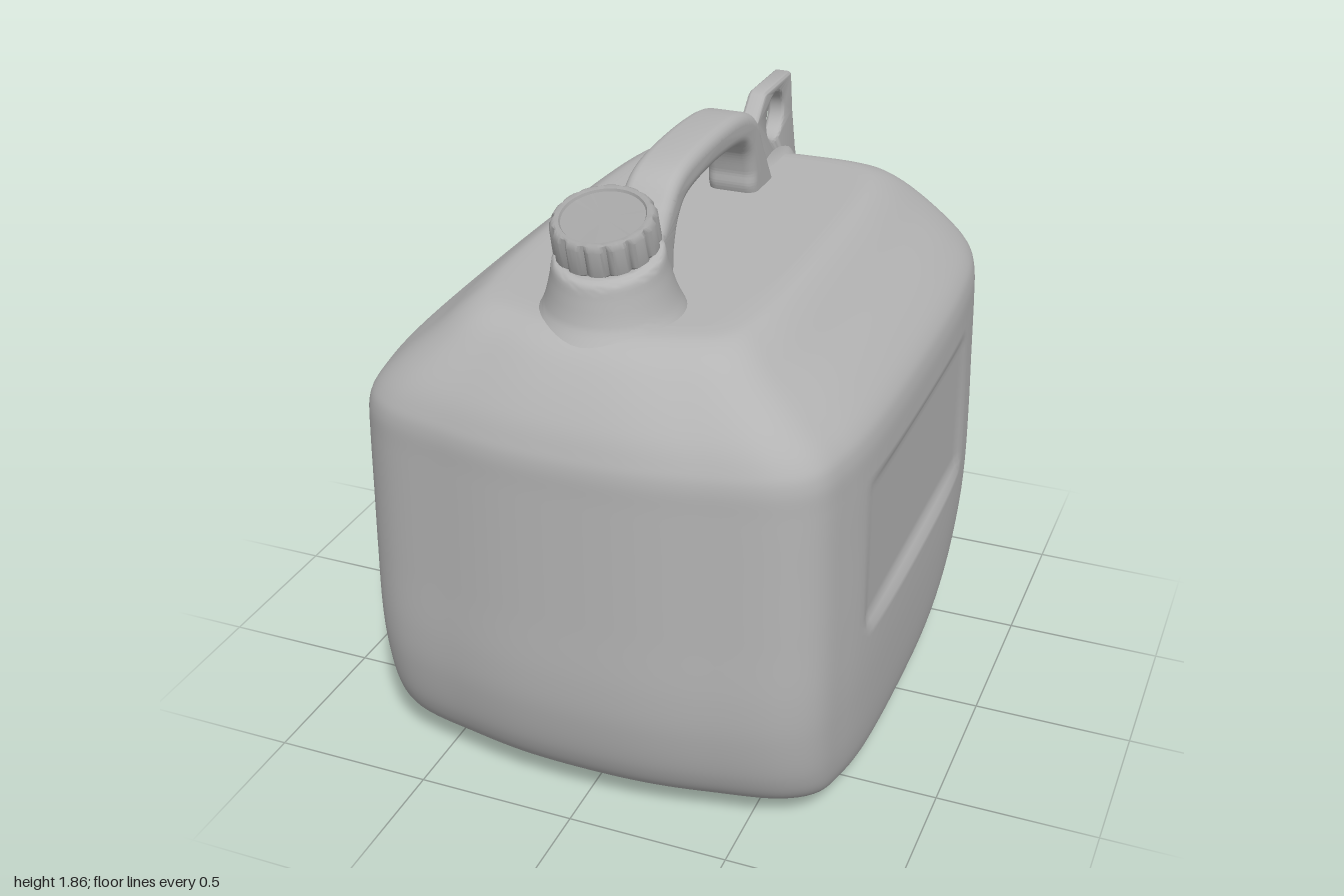
import * as THREE from 'three';
import { toCreasedNormals } from 'three/addons/utils/BufferGeometryUtils.js';

// Skin over closed rings of points, listed bottom to top and counterclockwise from above
function loft(rings) {
  const n = rings[0].length, index = [];
  for (let i = 0; i < rings.length - 1; i++) {
    for (let j = 0; j < n; j++) {
      const k = (j + 1) % n, a = i * n + j, b = i * n + k, c = a + n, d = b + n;
      index.push(a, b, c, b, d, c);
    }
  }
  const geo = new THREE.BufferGeometry();
  geo.setAttribute('position', new THREE.Float32BufferAttribute(rings.flat().flatMap(p => [p.x, p.y, p.z]), 3));
  geo.setIndex(index);
  geo.computeVertexNormals();
  return geo;
}

// Catmull-Rom through rows of numbers
function smoothRows(rows, steps) {
  const out = [], at = i => rows[Math.min(Math.max(i, 0), rows.length - 1)];
  for (let i = 0; i < rows.length - 1; i++) {
    for (let s = 0; s < steps; s++) {
      const t = s / steps;
      out.push(rows[i].map((v, c) => {
        const p0 = at(i - 1)[c], p2 = at(i + 1)[c], p3 = at(i + 2)[c];
        return 0.5 * (2 * v + (p2 - p0) * t + (2 * p0 - 5 * v + 4 * p2 - p3) * t * t + (3 * v - p0 - 3 * p2 + p3) * t ** 3);
      }));
    }
  }
  out.push(rows[rows.length - 1]);
  return out;
}

// Signed distances used for the dents, negative inside
function rectDistance(z, y, cz, cy, hz, hy, r) {
  const a = Math.abs(z - cz) - hz + r, b = Math.abs(y - cy) - hy + r;
  return Math.hypot(Math.max(a, 0), Math.max(b, 0)) + Math.min(Math.max(a, b), 0) - r;
}
function triangleDistance(z, y, pts) {
  let d = -Infinity;
  pts.forEach(([az, ay], i) => {
    const [bz, by] = pts[(i + 1) % 3], l = Math.hypot(bz - az, by - ay);
    d = Math.max(d, ((z - az) * (by - ay) - (y - ay) * (bz - az)) / l);
  });
  return d;
}
const mask = (d, soft) => 1 - THREE.MathUtils.smoothstep(d, -soft, 0);

function bodyGeometry() {
  // Half of the plan outline, front to back
  const half = [[0, 1], [0.27, 0.99], [0.51, 0.955], [0.8, 0.89], [0.91, 0.81], [0.955, 0.68], [0.985, 0.5], [1, 0],
    [0.985, -0.5], [0.94, -0.77], [0.87, -0.91], [0.77, -0.97], [0.6, -1], [0, -1]];
  const outline = [...half, ...half.slice(1, -1).reverse().map(([x, z]) => [-x, z])];
  const plan = new THREE.CatmullRomCurve3(outline.map(([x, z]) => new THREE.Vector3(x, 0, z)), true).getSpacedPoints(240).slice(0, -1);
  // Height, half width, front z, back z
  const levels = [
    [0.003, 0.62, 0.55, -0.48], [0.012, 0.68, 0.66, -0.58], [0.04, 0.735, 0.77, -0.67], [0.1, 0.757, 0.88, -0.78],
    [0.2, 0.77, 0.945, -0.88], [0.35, 0.778, 0.985, -0.965], [0.5, 0.781, 1, -0.995], [0.7, 0.779, 1, -1],
    [0.9, 0.774, 1, -1], [1.1, 0.769, 1, -1], [1.2, 0.762, 1, -1], [1.26, 0.737, 0.987, -0.987], [1.33, 0.67, 0.96, -0.962],
    [1.42, 0.565, 0.905, -0.915], [1.49, 0.485, 0.845, -0.84], [1.525, 0.43, 0.78, -0.76], [1.533, 0.38, 0.71, -0.7]];
  const rows = smoothRows(levels, 9);
  rows.unshift([0, 0.5, 0.45, -0.38], [0, 0.0, 0.03, 0.03]);
  [rows[0], rows[1]] = [rows[1], rows[0]];
  rows.push([1.535, 0.2, 0.35, -0.35], [1.535, 0, 0, 0]);
  return loft(rows.map(([y, w, f, b]) => plan.map(p => {
    const z = (f + b) / 2 + p.z * (f - b) / 2;
    let x = p.x * w;
    const side = Math.sign(x), ax = Math.abs(x);
    if (ax > 0.7 && y > 0.1 && y < 1.15) {
      // Label recess on both sides
      let dent = mask(rectDistance(z, y, 0, 0.825, 0.555, 0.26, 0.05), 0.035) * Math.max(0, ax - 0.752);
      // Small dent below the label, different on each side
      if (side > 0) dent = Math.max(dent, 0.02 * mask(triangleDistance(z, y, [[0.55, 0.63], [0.34, 0.63], [0.4, 0.43]].reverse()), 0.05));
      else dent = Math.max(dent, 0.035 * mask(triangleDistance(z, y, [[0.05, 0.2], [0.34, 0.46], [0.44, 0.22]].reverse()), 0.04));
      x = side * (ax - dent);
    }
    return new THREE.Vector3(x, y, z);
  })));
}

// Circular ring tilted toward the front
function ring(y, z, r, tilt, n, groove = 0) {
  return Array.from({ length: n }, (_, i) => {
    const a = i / n * Math.PI * 2, q = r - groove * Math.max(0, Math.cos(14 * a)) ** 3;
    const v = q * Math.cos(a);
    return new THREE.Vector3(q * Math.sin(a), y - v * Math.sin(tilt), z + v * Math.cos(tilt));
  });
}

// Side profile in (z, y), extruded across x with rounded edges
function sideExtrude(shape, width, bevel) {
  const geo = new THREE.ExtrudeGeometry(shape, {
    depth: width - 2 * bevel, bevelThickness: bevel, bevelSize: bevel, bevelOffset: -bevel, bevelSegments: 5, curveSegments: 24 });
  geo.translate(0, 0, bevel - width / 2);
  geo.rotateY(-Math.PI / 2);
  return toCreasedNormals(geo, 0.7);
}
const vec = pts => pts.map(([a, b]) => new THREE.Vector2(a, b));

export function createModel() {
  const group = new THREE.Group();
  const bodyGrey = new THREE.MeshStandardMaterial({ color: 0xb4b4b4 });
  bodyGrey.name = 'body grey';
  const capGrey = new THREE.MeshStandardMaterial({ color: 0xa4a4a4 });
  capGrey.name = 'cap grey';
  const add = (name, geo, mat) => {
    const mesh = new THREE.Mesh(geo, mat);
    mesh.name = name;
    group.add(mesh);
  };

  add('body', bodyGeometry(), bodyGrey);

  // Neck leaning forward out of the top
  const neck = smoothRows([[1.43, 0.615, 0.27, 0], [1.53, 0.605, 0.21, 0.03], [1.58, 0.612, 0.187, 0.1], [1.65, 0.622, 0.168, 0.2],
    [1.7, 0.627, 0.157, 0.27], [1.712, 0.63, 0.13, 0.27], [1.75, 0.638, 0.125, 0.27]], 4);
  add('neck', toCreasedNormals(loft(neck.map(([y, z, r, t]) => ring(y, z, r, t, 48))), 0.8), bodyGrey);

  // Ribbed screw cap: distance along the axis, radius, groove depth
  const tilt = 0.28;
  const cap = [[0, 0, 0], [0, 0.142, 0.006], [0.008, 0.152, 0.012], [0.088, 0.15, 0.012], [0.102, 0.141, 0.004],
    [0.105, 0.134, 0], [0.103, 0.122, 0], [0.096, 0.118, 0], [0.096, 0, 0]];
  add('cap', toCreasedNormals(loft(cap.map(([h, r, g]) =>
    ring(1.724 + h * Math.cos(tilt), 0.632 + h * Math.sin(tilt), r, tilt, 112, g))), 0.6), capGrey);

  // Arched carrying handle
  const handle = new THREE.Shape();
  handle.moveTo(-0.58, 1.46);
  handle.splineThru(vec([[-0.5, 1.58], [-0.43, 1.69], [-0.39, 1.76], [-0.32, 1.81], [-0.2, 1.84], [0, 1.85], [0.2, 1.84],
    [0.31, 1.81], [0.38, 1.75], [0.43, 1.7], [0.5, 1.69]]));
  handle.lineTo(0.52, 1.46);
  handle.lineTo(0.37, 1.46);
  handle.splineThru(vec([[0.33, 1.55], [0.325, 1.61], [0.29, 1.69], [0.21, 1.735], [0, 1.75], [-0.21, 1.735], [-0.29, 1.69],
    [-0.325, 1.61], [-0.33, 1.55], [-0.37, 1.46]]));
  add('handle', sideExtrude(handle, 0.165, 0.035), bodyGrey);

  // Thin rear tab with a round hole
  const tab = new THREE.Shape(vec([[-0.4, 1.46], [-0.4, 1.72], [-0.45, 1.7], [-0.5, 1.72], [-0.57, 1.785], [-0.59, 1.792], [-0.825, 1.792],
    [-0.838, 1.785], [-0.86, 1.65], [-0.9, 1.5], [-0.965, 1.34], [-0.9, 1.34]]));
  const hole = new THREE.Path();
  hole.absellipse(-0.68, 1.68, 0.085, 0.078, 0, Math.PI * 2, true);
  tab.holes.push(hole);
  add('rearTab', sideExtrude(tab, 0.06, 0.012), bodyGrey);

  // Flared root where the tab meets the body
  const root = [[1.42, 0.1, 0.27], [1.5, 0.075, 0.22], [1.545, 0.04, 0.17], [1.59, 0.02, 0.1]];
  add('tabRoot', loft(smoothRows(root, 4).map(([y, w, l]) =>
    ring(y, -0.66, 1, 0, 32).map(p => new THREE.Vector3(p.x * w, y, -0.66 + (p.z + 0.66) * l)))), bodyGrey);

  return group;
}
